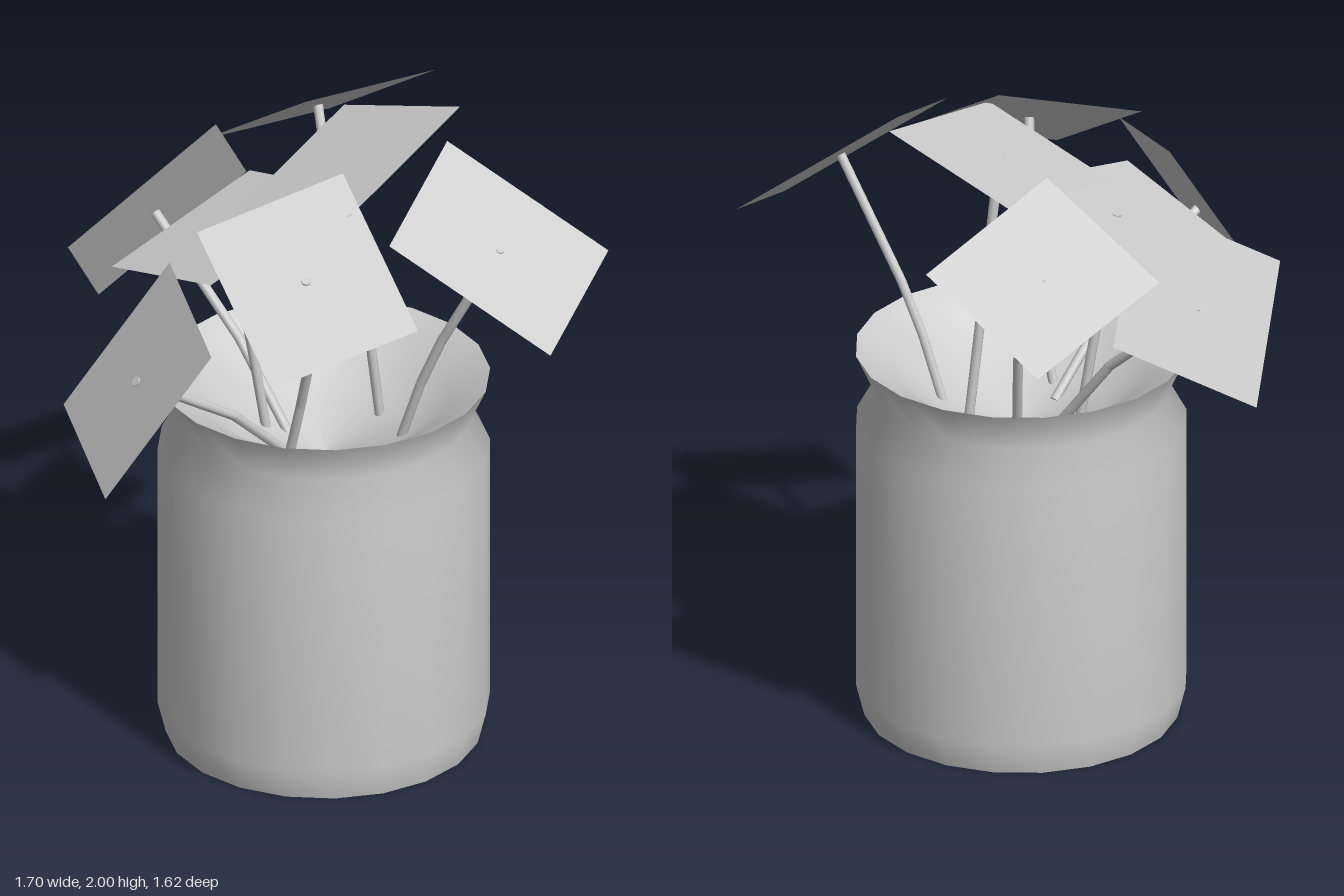
import * as THREE from 'three';

const SIDES = 20;
const CENTER_X = 0.09;

export function createModel() {
  const group = new THREE.Group();
  const solid = new THREE.MeshStandardMaterial({ color: 0xcccccc });
  const thin = new THREE.MeshStandardMaterial({ color: 0xcccccc, side: THREE.DoubleSide });

  const add = (name, geometry, material, parent = group) => {
    const mesh = new THREE.Mesh(geometry, material);
    mesh.name = name;
    parent.add(mesh);
    return mesh;
  };
  const lathe = (profile) =>
    new THREE.LatheGeometry(profile.map(([r, y]) => new THREE.Vector2(r, y)), SIDES);

  // Jar: outer wall with a pinched neck, sunken inside, flat base
  const jar = new THREE.Group();
  jar.name = 'jar';
  jar.position.x = CENTER_X;
  group.add(jar);
  add('jarWall', lathe([[0.475, 0], [0.5, 0.1], [0.5, 0.95], [0.44, 1.06], [0.5, 1.19]]), thin, jar);
  add('jarInside', lathe([[0.5, 1.19], [0.38, 1.12], [0.25, 1.01], [0, 0.92]]), thin, jar);
  const base = new THREE.CircleGeometry(0.475, SIDES);
  base.rotateX(Math.PI / 2);
  add('jarBase', base, solid, jar);

  // Flat card from three consecutive corners; the fourth completes the rectangle
  const card = (a, b, c) => {
    const d = a.map((v, i) => v + c[i] - b[i]);
    const geometry = new THREE.BufferGeometry();
    geometry.setAttribute('position', new THREE.Float32BufferAttribute([...a, ...b, ...c, ...d], 3));
    geometry.setIndex([0, 2, 1, 0, 3, 2]);
    geometry.computeVertexNormals();
    return geometry;
  };

  // Straight rod between two points
  const rod = (from, to) => {
    const p = new THREE.Vector3(...from);
    const q = new THREE.Vector3(...to);
    const dir = q.clone().sub(p);
    const geometry = new THREE.CylinderGeometry(0.015, 0.015, dir.length() + 0.006, 8);
    geometry.applyQuaternion(new THREE.Quaternion().setFromUnitVectors(
      new THREE.Vector3(0, 1, 0), dir.normalize()));
    const mid = p.add(q).multiplyScalar(0.5);
    return geometry.translate(mid.x, mid.y, mid.z);
  };

  // Each flower: three card corners and the bent stem from card to jar
  const flowers = [
    { name: 'backFlower',
      corners: [[-0.39, 1.53, -0.62], [-0.11, 1.2, -0.81], [0.36, 1.51, -0.68]],
      stem: [[-0.02, 1.51, -0.65], [0.02, 1.21, -0.31], [0.05, 0.94, -0.1]] },
    { name: 'backLeftFlower',
      corners: [[0.18, 1.67, -0.69], [0.75, 1.56, -0.76], [0.85, 1.81, -0.38]],
      stem: [[0.515, 1.74, -0.53], [0.42, 1.37, -0.33], [0.32, 1.0, -0.22]] },
    { name: 'innerFlower',
      corners: [[-0.37, 1.53, -0.44], [0.2, 1.65, -0.475], [0.2, 1.77, -0.015]],
      stem: [[-0.085, 1.65, -0.23], [-0.03, 1.2, -0.18], [0, 0.93, -0.15]] },
    { name: 'topFlower',
      corners: [[-0.12, 1.73, -0.17], [0.43, 1.86, -0.31], [0.515, 2.0, 0.13]],
      stem: [[0.2, 1.86, -0.02], [0.27, 1.2, 0.01], [0.3, 0.94, 0.02]] },
    { name: 'rightFlower',
      corners: [[-0.66, 1.21, -0.32], [-0.43, 1.7, -0.1], [-0.62, 1.61, 0.32]],
      stem: [[-0.645, 1.41, 0], [-0.28, 1.18, 0.02], [-0.05, 0.97, 0]] },
    { name: 'frontRightFlower',
      corners: [[-0.39, 1.82, -0.02], [0.03, 1.95, 0.16], [-0.085, 1.65, 0.645]],
      stem: [[-0.24, 1.735, 0.31], [-0.13, 1.36, 0.19], [-0.11, 1.2, 0.13], [-0.1, 0.95, 0.05]] },
    { name: 'frontLeftFlower',
      corners: [[0.38, 1.97, 0.23], [0.7, 1.64, 0.6], [0.3, 1.5, 0.805]],
      stem: [[0.34, 1.73, 0.52], [0.28, 1.36, 0.32], [0.26, 1.2, 0.25], [0.24, 0.97, 0.17]] },
  ];

  for (const { name, corners, stem } of flowers) {
    const flower = new THREE.Group();
    flower.name = name;
    group.add(flower);
    add('petalCard', card(...corners), thin, flower);
    for (let i = 1; i < stem.length; i++) add('stem', rod(stem[i - 1], stem[i]), solid, flower);
  }
  return group;
}
